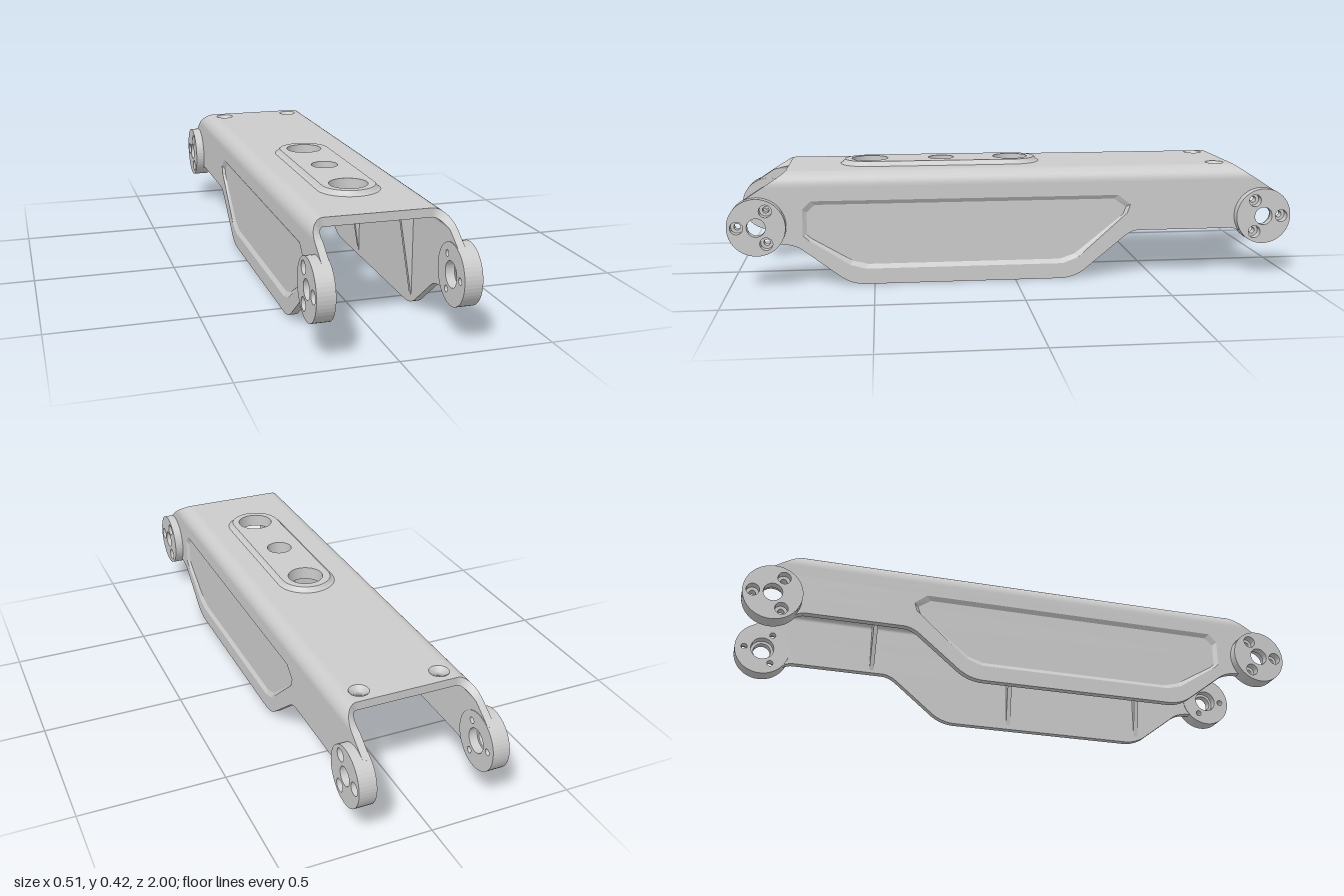
import * as THREE from 'three';

const grey = new THREE.MeshStandardMaterial({ color: 0xcccccc, side: THREE.DoubleSide });
const TOP = 0.4, INNER = 0.2, OUTER = 0.225, FLOOR = 0.215;
const PIVOT = { z: 0.9, y: 0.217, r: 0.1 };

const V2 = (x, y) => new THREE.Vector2(x, y);
const circle = (x, y, r) => new THREE.Path().absarc(x, y, r, 0, Math.PI * 2, true);

// Shape drawn in (z, y), thickened along x between x0 and x1
function sidePlate(shape, x0, x1, curveSegments = 24) {
  const g = new THREE.ExtrudeGeometry(shape, { depth: x1 - x0, bevelEnabled: false, curveSegments });
  return g.rotateY(-Math.PI / 2).translate(x1, 0, 0);
}

// Shape drawn in (x, -z), thickened along y between y0 and y1
function flatPlate(shape, y0, y1) {
  const g = new THREE.ExtrudeGeometry(shape, { depth: y1 - y0, bevelEnabled: false, curveSegments: 24 });
  return g.rotateX(-Math.PI / 2).translate(0, y0, 0);
}

// Surface between two polylines of equal length
function strip(a, b, flat = false) {
  const pos = [], index = [];
  a.forEach((p, i) => {
    pos.push(...p, ...b[i]);
    if (i) index.push(2 * i - 2, 2 * i, 2 * i - 1, 2 * i, 2 * i + 1, 2 * i - 1);
  });
  let g = new THREE.BufferGeometry();
  g.setAttribute('position', new THREE.Float32BufferAttribute(pos, 3));
  g.setIndex(index);
  if (flat) g = g.toNonIndexed();
  g.computeVertexNormals();
  return g;
}

// Reflect a geometry in x, keeping its faces outward
function mirrored(geometry) {
  const g = geometry.index ? geometry.toNonIndexed() : geometry.clone();
  for (const name of ['position', 'normal']) {
    const at = g.attributes[name];
    for (let i = 0; i < at.count; i++) at.setX(i, -at.getX(i));
    for (let i = 0; i < at.count; i += 3) {
      const p = new THREE.Vector3().fromBufferAttribute(at, i + 1);
      const q = new THREE.Vector3().fromBufferAttribute(at, i + 2);
      at.setXYZ(i + 1, q.x, q.y, q.z);
      at.setXYZ(i + 2, p.x, p.y, p.z);
    }
  }
  return g;
}

// Side wall outline, hollowed at both ends to meet the pivot discs
function wallShape() {
  const { z, y, r } = PIVOT, a = THREE.MathUtils.degToRad(57), b = THREE.MathUtils.degToRad(222);
  const s = new THREE.Shape();
  s.moveTo(-0.878, 0.35);
  s.lineTo(-z - r * Math.cos(a), y + r * Math.sin(a));
  s.absarc(-z, y, r - 0.001, Math.PI - a, Math.PI - b, true);
  s.quadraticCurveTo(-0.81, 0.17, -0.78, 0.17);
  s.lineTo(-0.45, 0.17);
  s.quadraticCurveTo(-0.42, 0.17, -0.39, 0.145);
  s.lineTo(-0.25, 0.03);
  s.quadraticCurveTo(-0.21, 0, -0.16, 0);
  s.lineTo(0.53, 0);
  s.quadraticCurveTo(0.58, 0, 0.62, 0.03);
  s.lineTo(0.75, 0.13);
  s.quadraticCurveTo(0.78, 0.15, z + r * Math.cos(b), y + r * Math.sin(b));
  s.absarc(z, y, r - 0.001, b, a, true);
  s.lineTo(0.878, 0.35);
  s.closePath();
  return s;
}

// Outline of the sunken side panel
const panel = [[0.745, 0.18], [0.745, 0.27], [0.715, 0.3], [-0.37, 0.3], [-0.415, 0.265], [-0.405, 0.235],
  [-0.225, 0.075], [-0.17, 0.055], [0.53, 0.055], [0.585, 0.07], [0.73, 0.165]];

function sideParts(add) {
  // Wall: plain inner layer, outer layer opened for the panel, sloped panel rim
  const skin = wallShape();
  skin.holes.push(new THREE.Path(panel.map(p => V2(...p))));
  add('sideWall', sidePlate(wallShape(), INNER, FLOOR));
  add('sideWallSkin', sidePlate(skin, FLOOR, OUTER));
  const rim = [...panel, panel[0]];
  add('panelRim', strip(rim.map(([z, y]) => [OUTER, y, z]),
    rim.map(([z, y]) => [FLOOR + 0.0005, 0.18 + (y - 0.18) * 0.88, 0.17 + (z - 0.17) * 0.975]), true));

  // Rounded edge between wall and top, cut back along the end slopes
  const arc = (rx, ry, side) => Array.from({ length: 13 }, (_, i) => {
    const t = (i / 12) * Math.PI / 2;
    return [0.175 + rx * Math.cos(t), 0.35 + ry * Math.sin(t), side * (0.8 + 0.05 * (1 - Math.sin(t)) * 1.56)];
  });
  const out = s => arc(0.05, 0.05, s), inn = s => arc(0.025, 0.02, s);
  add('roundedEdge', strip(out(1), out(-1)));
  add('roundedEdgeInside', strip(inn(-1), inn(1)));
  add('roundedEdgeFront', strip(inn(1), out(1)));
  add('roundedEdgeBack', strip(out(-1), inn(-1)));

  // Pivot discs with counterbored screw holes
  for (const end of [1, -1]) {
    const disc = (centre, hole) => {
      const s = new THREE.Shape().absarc(end * PIVOT.z, PIVOT.y, PIVOT.r, 0, Math.PI * 2);
      s.holes.push(circle(end * PIVOT.z, PIVOT.y, centre));
      for (let i = 0; i < 3; i++) {
        const t = i * Math.PI * 2 / 3;
        s.holes.push(circle(end * (PIVOT.z + 0.066 * Math.cos(t)), PIVOT.y + 0.066 * Math.sin(t), hole));
      }
      return s;
    };
    add('pivotDiscInner', sidePlate(disc(0.042, 0.011), 0.198, 0.228));
    add('pivotDiscOuter', sidePlate(disc(0.032, 0.022), 0.228, 0.257));
  }

  // Tapered ribs inside the wall
  for (const [z, low] of [[0.58, 0.015], [0.05, 0.005], [-0.49, 0.175]]) {
    const s = new THREE.Shape([V2(0.202, low), V2(0.202, 0.372), V2(0.145, 0.372)]);
    add('rib', new THREE.ExtrudeGeometry(s, { depth: 0.016, bevelEnabled: false }).translate(0, 0, z - 0.008));
  }

  // Screw post under the top, joined to the wall
  const post = new THREE.Shape();
  post.moveTo(0.202, 0.195);
  post.lineTo(0.202, 0.265);
  post.lineTo(0.155, 0.265);
  post.absarc(0.155, 0.23, 0.035, Math.PI / 2, Math.PI * 1.5, false);
  post.holes.push(circle(0.152, 0.23, 0.012));
  add('screwPost', flatPlate(post, 0.32, 0.372));

  // Countersunk hole at the back of the top
  const sink = [[0.033, TOP], [0.017, 0.385], [0.017, 0.37], [0.033, 0.37]].map(p => V2(...p));
  add('countersink', new THREE.LatheGeometry(sink, 32).toNonIndexed().translate(0.14, 0, -0.745));
}

export function createModel() {
  const group = new THREE.Group();
  const addMesh = (name, geometry) => {
    const mesh = new THREE.Mesh(geometry, grey);
    mesh.name = name;
    group.add(mesh);
  };

  // Top plate with three large holes and two screw holes
  const bores = () => [[-0.005, 0.063], [0.25, 0.046], [0.51, 0.065]].map(([z, r]) => circle(0, -z, r));
  const top = new THREE.Shape([V2(-0.175, -0.8), V2(0.175, -0.8), V2(0.175, 0.8), V2(-0.175, 0.8)]);
  top.holes.push(...bores(), circle(0.14, 0.745, 0.033), circle(-0.14, 0.745, 0.033));
  addMesh('topPlate', flatPlate(top, 0.37, TOP));

  // Raised pad around the large holes, with a sloped skirt
  const stadium = r => new THREE.Shape()
    .absarc(0, 0.005, r, 0, Math.PI, false)
    .absarc(0, -0.51, r, Math.PI, Math.PI * 2, false);
  const pad = stadium(0.09);
  pad.holes.push(...bores());
  addMesh('raisedPad', flatPlate(pad, TOP, 0.416));
  const ring = (r, y) => {
    const pts = stadium(r).getPoints(24).map(p => [p.x, y, -p.y]);
    return [...pts, pts[0]];
  };
  addMesh('padSkirt', strip(ring(0.106, TOP), ring(0.098, 0.406)));
  addMesh('padBevel', strip(ring(0.098, 0.406), ring(0.09, 0.416)));

  // Both sides
  sideParts((name, geometry) => {
    addMesh(name + 'Left', geometry);
    addMesh(name + 'Right', mirrored(geometry));
  });
  return group;
}
